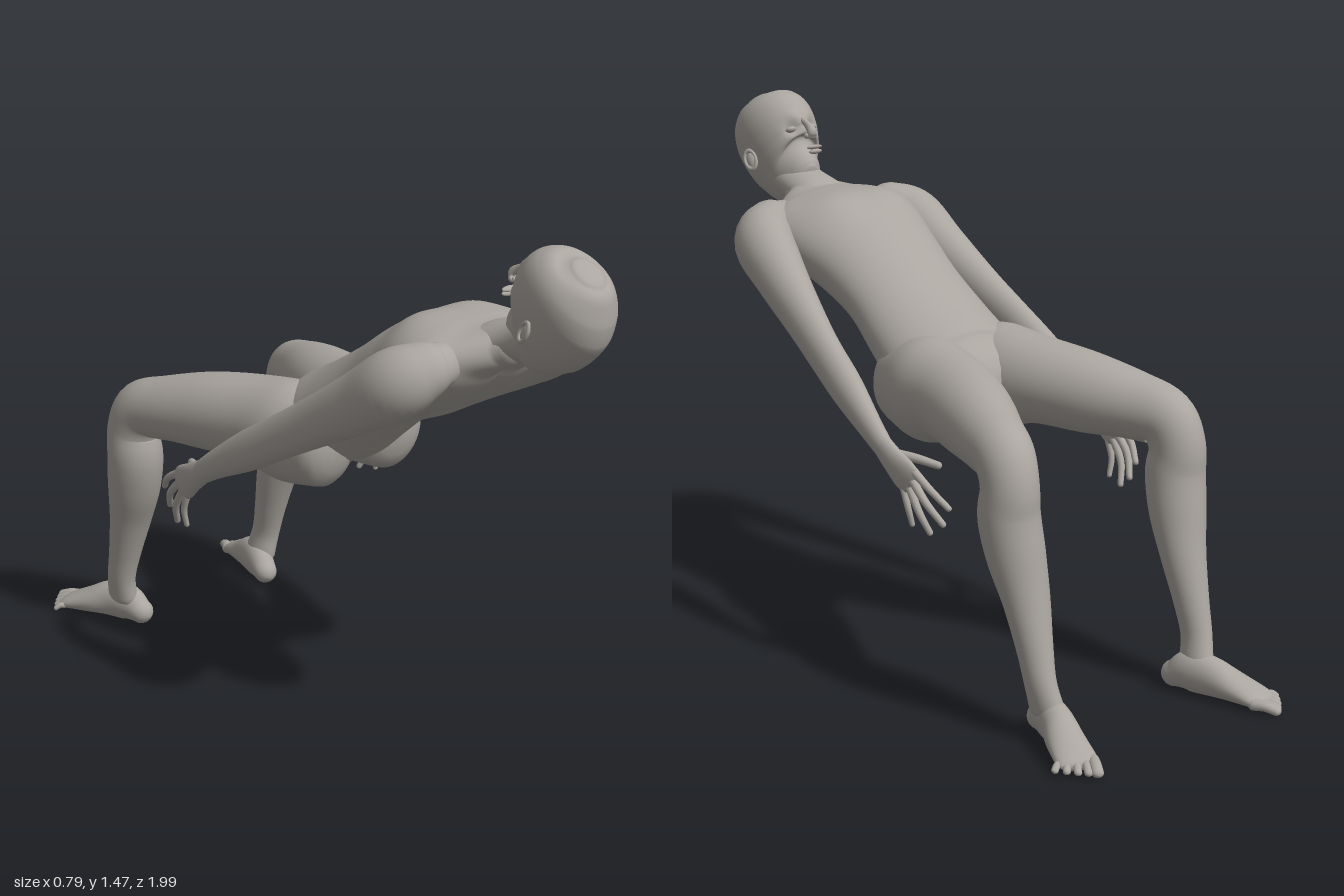
import * as THREE from 'three';

const skin = new THREE.MeshStandardMaterial({ color: 0xaaa59f });
skin.name = 'warm grey';

// Smooth tube through elliptical sections [x, y, z, halfSide, halfOther] with domed ends.
// side: direction of the first half-width; warp: optional rule that moves each vertex.
function loft(name, rows, side, { around = 28, steps = 6, cap = 1, warp } = {}) {
  const path = new THREE.CatmullRomCurve3(rows.map(r => new THREE.Vector3(r[0], r[1], r[2])));
  const size = new THREE.CatmullRomCurve3(rows.map(r => new THREE.Vector3(r[3], r[4], 0)));
  path.curveType = size.curveType = 'catmullrom';
  const n = (rows.length - 1) * steps, dome = 5, rings = [];
  const ring = (t, phi, dir) => {
    const c = path.getPoint(t), s = size.getPoint(t), tan = path.getTangent(t);
    const u = new THREE.Vector3(...side).addScaledVector(tan, -tan.dot(new THREE.Vector3(...side))).normalize();
    const v = tan.clone().cross(u);
    c.addScaledVector(tan, dir * cap * Math.min(s.x, s.y) * Math.sin(phi));
    const k = Math.max(Math.cos(phi), 0.01);
    rings.push({ c, u, v, a: s.x * k, b: s.y * k });
  };
  for (let k = dome; k > 0; k--) ring(0, k / dome * Math.PI / 2, -1);
  for (let i = 0; i <= n; i++) ring(i / n, 0, 0);
  for (let k = 1; k <= dome; k++) ring(1, k / dome * Math.PI / 2, 1);

  const pos = [], index = [];
  rings.forEach((r, i) => {
    for (let j = 0; j < around; j++) {
      const th = j / around * Math.PI * 2;
      const p = r.c.clone().addScaledVector(r.u, r.a * Math.cos(th)).addScaledVector(r.v, r.b * Math.sin(th));
      if (warp) warp(p);
      pos.push(p.x, p.y, p.z);
      if (i < rings.length - 1) {
        const a = i * around + j, b = i * around + (j + 1) % around;
        index.push(a, b, a + around, b, b + around, a + around);
      }
    }
  });
  const g = new THREE.BufferGeometry();
  g.setAttribute('position', new THREE.Float32BufferAttribute(pos, 3));
  g.setIndex(index);
  g.computeVertexNormals();
  const m = new THREE.Mesh(g, skin);
  m.name = name;
  return m;
}

function ball(name, x, y, z, sx, sy, sz) {
  const m = new THREE.Mesh(new THREE.SphereGeometry(1, 20, 14), skin);
  m.name = name;
  m.position.set(x, y, z);
  m.scale.set(sx, sy, sz);
  return m;
}

const bump = (p, x, y, z, r) =>
  Math.exp(-((Math.abs(p.x) - x) ** 2 + (p.y - y) ** 2 + (p.z - z) ** 2) / (r * r));

function makeTorso() {
  const warp = p => {
    // chest muscles and the groove down the spine
    const pec = 0.014 * bump(p, 0.1, 1.19, 0.42, 0.08);
    const back = p.y - 0.57 * p.z < 0.8 ? 0.014 * Math.exp(-((p.x / 0.03) ** 2)) : 0;
    p.y += 0.87 * (pec + back);
    p.z -= 0.5 * (pec + back);
  };
  return loft('torso', [
    [0, 0.775, -0.07, 0.17, 0.12], [0, 0.805, -0.01, 0.2, 0.142], [0, 0.88, 0.1, 0.195, 0.13],
    [0, 0.965, 0.22, 0.186, 0.122], [0, 1.037, 0.34, 0.2, 0.132], [0, 1.095, 0.46, 0.23, 0.13],
    [0, 1.135, 0.56, 0.23, 0.098], [0, 1.16, 0.62, 0.16, 0.068], [0, 1.18, 0.68, 0.08, 0.056],
  ], [1, 0, 0], { around: 64, steps: 8, warp });
}

function makeHead() {
  const head = new THREE.Group();
  head.name = 'head';
  // local frame: y to the crown, z out of the face
  head.quaternion.setFromRotationMatrix(new THREE.Matrix4().makeBasis(
    new THREE.Vector3(-1, 0, 0), new THREE.Vector3(0, 0.834, 0.552), new THREE.Vector3(0, 0.552, -0.834)));
  head.position.set(0, 1.31, 0.83);
  const warp = p => {
    if (p.z < 0.05) return;
    p.z -= 0.014 * bump(p, 0.036, -0.012, 0.14, 0.022);   // eye sockets
    p.z += 0.006 * bump(p, 0.03, 0.018, 0.15, 0.02);      // brow
    p.z += 0.006 * bump(p, 0.045, -0.05, 0.14, 0.022);    // cheeks
    p.z += 0.01 * bump(p, 0, -0.092, 0.15, 0.025);        // mouth
    p.z += 0.008 * bump(p, 0, -0.14, 0.13, 0.022);        // chin
  };
  head.add(loft('skull', [
    [0, -0.15, 0.085, 0.03, 0.038], [0, -0.135, 0.07, 0.05, 0.064], [0, -0.1, 0.03, 0.074, 0.116],
    [0, -0.05, 0.01, 0.093, 0.143], [0, 0, 0, 0.104, 0.152], [0, 0.05, -0.005, 0.108, 0.149],
    [0, 0.095, -0.011, 0.1, 0.128], [0, 0.128, -0.015, 0.077, 0.094], [0, 0.147, -0.015, 0.043, 0.052],
  ], [1, 0, 0], { around: 72, steps: 8, cap: 0.25, warp }));
  head.add(loft('nose', [
    [0, 0.008, 0.147, 0.008, 0.008], [0, -0.02, 0.162, 0.009, 0.012],
    [0, -0.042, 0.171, 0.014, 0.014], [0, -0.053, 0.162, 0.015, 0.01],
  ], [1, 0, 0], { around: 18 }));
  head.add(ball('upperLip', 0, -0.087, 0.157, 0.026, 0.006, 0.009));
  head.add(ball('lowerLip', 0, -0.1, 0.154, 0.022, 0.007, 0.009));
  for (const s of [-1, 1]) {
    head.add(ball('nostril', s * 0.013, -0.05, 0.158, 0.008, 0.008, 0.01));
    head.add(ball('eye', s * 0.036, -0.012, 0.126, 0.017, 0.009, 0.014));
    const ear = new THREE.Group();
    ear.name = 'ear';
    const rim = new THREE.Mesh(new THREE.TorusGeometry(0.021, 0.005, 8, 24), skin);
    rim.name = 'earRim';
    rim.scale.set(0.9, 1.35, 1);
    ear.add(rim, ball('earBowl', 0, -0.003, -0.006, 0.017, 0.026, 0.008));
    ear.position.set(s * 0.112, -0.035, -0.012);
    ear.rotation.y = s * 1.15;
    head.add(ear);
  }
  return head;
}

function makeArm(s) {
  const arm = new THREE.Group();
  arm.name = s > 0 ? 'leftArm' : 'rightArm';
  const flip = rows => rows.map(([x, ...r]) => [s * x, ...r]);
  const front = [0, 0.87, -0.5];
  arm.add(loft('armAndShoulder', flip([
    [0.17, 1.14, 0.58, 0.06, 0.055], [0.215, 1.13, 0.57, 0.078, 0.075], [0.265, 1.095, 0.525, 0.094, 0.085],
    [0.289, 1.02, 0.41, 0.082, 0.07], [0.313, 0.93, 0.26, 0.068, 0.053], [0.332, 0.86, 0.14, 0.061, 0.044],
    [0.346, 0.79, 0.02, 0.056, 0.041], [0.361, 0.72, -0.1, 0.041, 0.03], [0.366, 0.675, -0.17, 0.033, 0.023],
  ]), front));
  arm.add(loft('palm', flip([
    [0.366, 0.685, -0.155, 0.032, 0.022], [0.366, 0.65, -0.21, 0.04, 0.022],
    [0.362, 0.62, -0.255, 0.049, 0.019], [0.358, 0.605, -0.278, 0.046, 0.014],
  ]), front));
  // base, middle joint, tip
  const fingers = [
    [[0.357, 0.638, -0.285], [0.352, 0.6, -0.352], [0.328, 0.555, -0.402]],
    [[0.358, 0.617, -0.278], [0.354, 0.56, -0.338], [0.328, 0.505, -0.378]],
    [[0.358, 0.596, -0.268], [0.356, 0.53, -0.31], [0.336, 0.472, -0.333]],
    [[0.36, 0.577, -0.252], [0.359, 0.53, -0.268], [0.348, 0.482, -0.272]],
    [[0.353, 0.66, -0.2], [0.326, 0.657, -0.26], [0.295, 0.645, -0.315]],
  ];
  fingers.forEach((f, i) => {
    const r = [0.012, 0.0125, 0.012, 0.0105, 0.015][i];
    arm.add(loft(i < 4 ? 'finger' : 'thumb',
      flip(f.map((p, k) => [...p, r * (1 - 0.15 * k), r * (1 - 0.15 * k)])), [0, 0.8, -0.6], { around: 14 }));
  });
  return arm;
}

function makeLeg(s) {
  const leg = new THREE.Group();
  leg.name = s > 0 ? 'leftLeg' : 'rightLeg';
  const flip = rows => rows.map(([x, ...r]) => [s * x, ...r]);
  // buttock, thigh, knee, calf and ankle
  leg.add(loft('thighAndShin', flip([
    [0.112, 0.765, 0.05, 0.108, 0.128], [0.128, 0.77, -0.07, 0.127, 0.146], [0.152, 0.778, -0.2, 0.12, 0.122],
    [0.2, 0.766, -0.35, 0.108, 0.112], [0.25, 0.75, -0.48, 0.09, 0.094], [0.28, 0.727, -0.57, 0.078, 0.085],
    [0.29, 0.66, -0.605, 0.074, 0.08], [0.289, 0.58, -0.602, 0.08, 0.084], [0.282, 0.48, -0.622, 0.077, 0.078],
    [0.275, 0.37, -0.655, 0.064, 0.061], [0.275, 0.25, -0.69, 0.048, 0.05], [0.275, 0.16, -0.714, 0.039, 0.047],
    [0.264, 0.09, -0.728, 0.038, 0.054],
  ]), [1, 0, 0], { around: 40, cap: 0.6 }));
  leg.add(loft('foot', flip([
    [0.237, 0.042, -0.672, 0.036, 0.037], [0.25, 0.06, -0.72, 0.042, 0.057], [0.27, 0.058, -0.78, 0.045, 0.055],
    [0.295, 0.043, -0.84, 0.052, 0.04], [0.317, 0.028, -0.9, 0.056, 0.025], [0.325, 0.021, -0.925, 0.053, 0.017],
  ]), [0.94 * s, 0, 0.35]));
  // toes fan from the inner big toe to the outer little toe
  for (let i = 0; i < 5; i++) {
    const k = i / 4, r = i ? 0.0115 - 0.002 * k : 0.016;
    const base = [0.283 + 0.083 * k, 0.022, -0.93 + 0.035 * k];
    const tip = [0.314 + 0.075 * k, 0.014, -0.984 + 0.076 * k ** 1.3];
    const mid = base.map((b, j) => (b + tip[j]) / 2 + (j === 1 ? 0.004 : 0));
    leg.add(loft('toe', flip([[...base, r, r], [...mid, r, r * 0.9], [...tip, r, r * 0.8]]),
      [0.94 * s, 0, 0.35], { around: 14, steps: 4 }));
  }
  return leg;
}

export function createModel() {
  const body = new THREE.Group();
  body.name = 'recliningFigure';
  body.add(makeTorso(), makeHead());
  body.add(loft('neck', [
    [0, 1.155, 0.57, 0.12, 0.055], [0, 1.182, 0.64, 0.085, 0.06],
    [0, 1.205, 0.71, 0.072, 0.058], [0, 1.235, 0.8, 0.074, 0.066],
  ], [1, 0, 0], { around: 40 }));
  for (const s of [-1, 1]) body.add(makeArm(s), makeLeg(s));
  return body;
}
